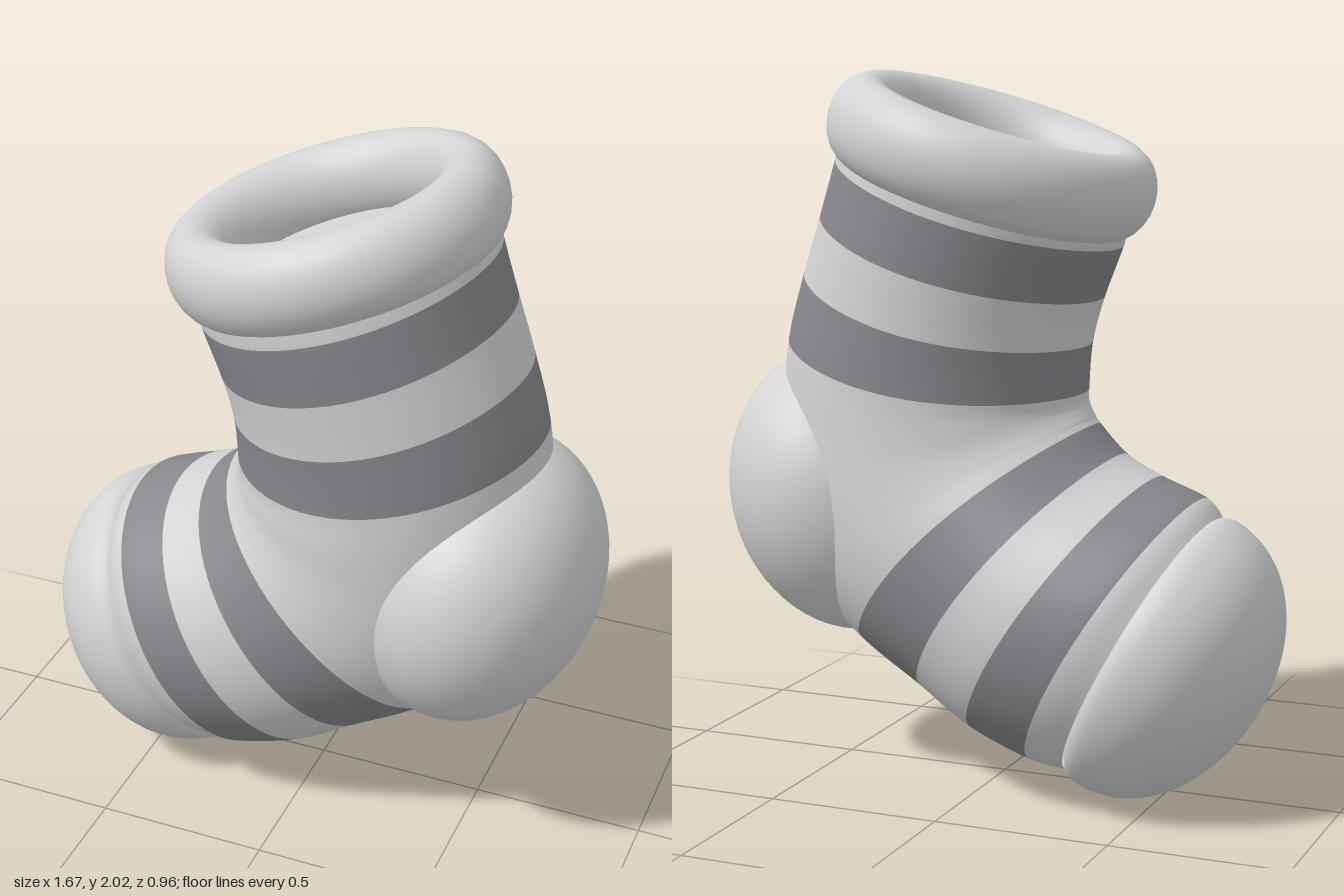
import * as THREE from 'three';

const knit = new THREE.MeshStandardMaterial({ color: 0xd2d4d3, side: THREE.DoubleSide });
knit.name = 'light grey knit';
const stripe = new THREE.MeshStandardMaterial({ color: 0x88888d, side: THREE.DoubleSide });
stripe.name = 'dark grey stripe';

// Cross-sections from cuff to toe:
// front edge x, y, back edge x, y, half depth, z centre, bend of the ring along the sock
const sections = [
  [-0.36, 1.62, 0.46, 1.88, 0.405, 0.01, 0.01],
  [-0.325, 1.51, 0.49, 1.77, 0.41, 0.015, 0.02], // stripe 1
  [-0.27, 1.365, 0.54, 1.61, 0.405, 0.015, 0.03],
  [-0.235, 1.235, 0.595, 1.445, 0.4, 0.015, 0.04], // stripe 2
  [-0.225, 1.10, 0.65, 1.25, 0.4, 0.015, 0.045],
  [-0.225, 1.07, 0.67, 1.03, 0.405, 0.015, 0.03],
  [-0.235, 1.05, 0.66, 0.75, 0.41, 0.01, 0.0],
  [-0.245, 1.035, 0.55, 0.50, 0.42, 0.005, -0.03],
  [-0.26, 1.015, 0.40, 0.35, 0.43, 0.0, -0.045], // stripe 3
  [-0.34, 0.935, 0.20, 0.23, 0.445, -0.01, -0.03],
  [-0.45, 0.88, 0.04, 0.13, 0.455, -0.02, -0.015], // stripe 4
  [-0.585, 0.83, -0.14, 0.06, 0.445, -0.03, -0.01],
  [-0.635, 0.775, -0.25, 0.045, 0.41, -0.04, 0.0],
];
const stripedSpans = [1, 3, 8, 10];

// Smooth value between sections
function sectionAt(i, f) {
  const s = (k) => sections[Math.min(Math.max(k, 0), sections.length - 1)];
  return s(i).map((p1, c) => {
    const p0 = s(i - 1)[c], p2 = s(i + 1)[c], p3 = s(i + 2)[c];
    const m1 = (p2 - p0) / 2, m2 = (p3 - p1) / 2;
    const f2 = f * f, f3 = f2 * f;
    return (2 * f3 - 3 * f2 + 1) * p1 + (f3 - 2 * f2 + f) * m1 + (3 * f2 - 2 * f3) * p2 + (f3 - f2) * m2;
  });
}

// Leg and foot as one smooth loft, striped by span
function sockBody() {
  const around = 64, steps = 6, spans = sections.length - 1;
  const positions = [], index = [];
  const geometry = new THREE.BufferGeometry();
  for (let r = 0; r <= spans * steps; r++) {
    const i = Math.min(Math.floor(r / steps), spans - 1);
    const [ax, ay, bx, by, depth, zc, bend] = sectionAt(i, r / steps - i);
    const hx = (bx - ax) / 2, hy = (by - ay) / 2, h = Math.hypot(hx, hy);
    for (let j = 0; j < around; j++) {
      const t = (j / around) * Math.PI * 2, c = Math.cos(t), s = Math.sin(t);
      const push = (bend * s * s) / h;
      positions.push((ax + bx) / 2 + hx * c + hy * push, (ay + by) / 2 + hy * c - hx * push, zc + depth * s);
    }
  }
  for (let r = 0; r < spans * steps; r++) {
    for (let j = 0; j < around; j++) {
      const a = r * around + j, b = r * around + ((j + 1) % around);
      index.push(a, b, a + around, b, b + around, a + around);
    }
  }
  for (let i = 0; i < spans; i++) {
    const count = steps * around * 6;
    geometry.addGroup(i * count, count, stripedSpans.includes(i) ? 1 : 0);
  }
  geometry.setAttribute('position', new THREE.Float32BufferAttribute(positions, 3));
  geometry.setIndex(index);
  geometry.computeVertexNormals();
  return new THREE.Mesh(geometry, [knit, stripe]);
}

export function createModel() {
  const model = new THREE.Group();
  const add = (name, mesh, x, y, z, turn) => {
    mesh.name = name;
    mesh.position.set(x, y, z);
    mesh.rotation.z = turn;
    model.add(mesh);
    return mesh;
  };

  add('legAndFoot', sockBody(), 0, 0, 0, 0);

  // Rolled cuff and the flat filling inside it
  const roll = new THREE.TorusGeometry(0.381, 0.095, 24, 72);
  roll.rotateX(Math.PI / 2);
  roll.scale(1, 0.125 / 0.095, 1);
  add('cuff', new THREE.Mesh(roll, knit), 0.04, 1.765, 0.003, 0.302);
  const disc = new THREE.CircleGeometry(0.33, 48);
  disc.rotateX(-Math.PI / 2);
  disc.translate(0, -0.07, 0);
  add('cuffFloor', new THREE.Mesh(disc, knit), 0.04, 1.765, 0.003, 0.302);

  // Heel bulge
  const heel = new THREE.SphereGeometry(1, 48, 32);
  heel.scale(0.345, 0.43, 0.435);
  add('heel', new THREE.Mesh(heel, knit), 0.49, 0.79, 0.03, -0.243);

  // Toe cap: rounded dome with a soft lip at its back edge
  const profile = [new THREE.Vector2(0.36, -0.05), new THREE.Vector2(0.40, -0.045), new THREE.Vector2(0.422, -0.025)];
  for (let k = 0; k <= 20; k++) {
    const a = (k / 20) * (Math.PI / 2);
    profile.push(new THREE.Vector2(0.43 * Math.cos(a), 0.33 * Math.pow(Math.sin(a), 0.95)));
  }
  profile[profile.length - 1].x = 0;
  const toe = new THREE.LatheGeometry(profile, 56);
  toe.scale(1, 1, 0.985);
  add('toeCap', new THREE.Mesh(toe, knit), -0.475, 0.395, -0.045, 2.04);

  return model;
}
